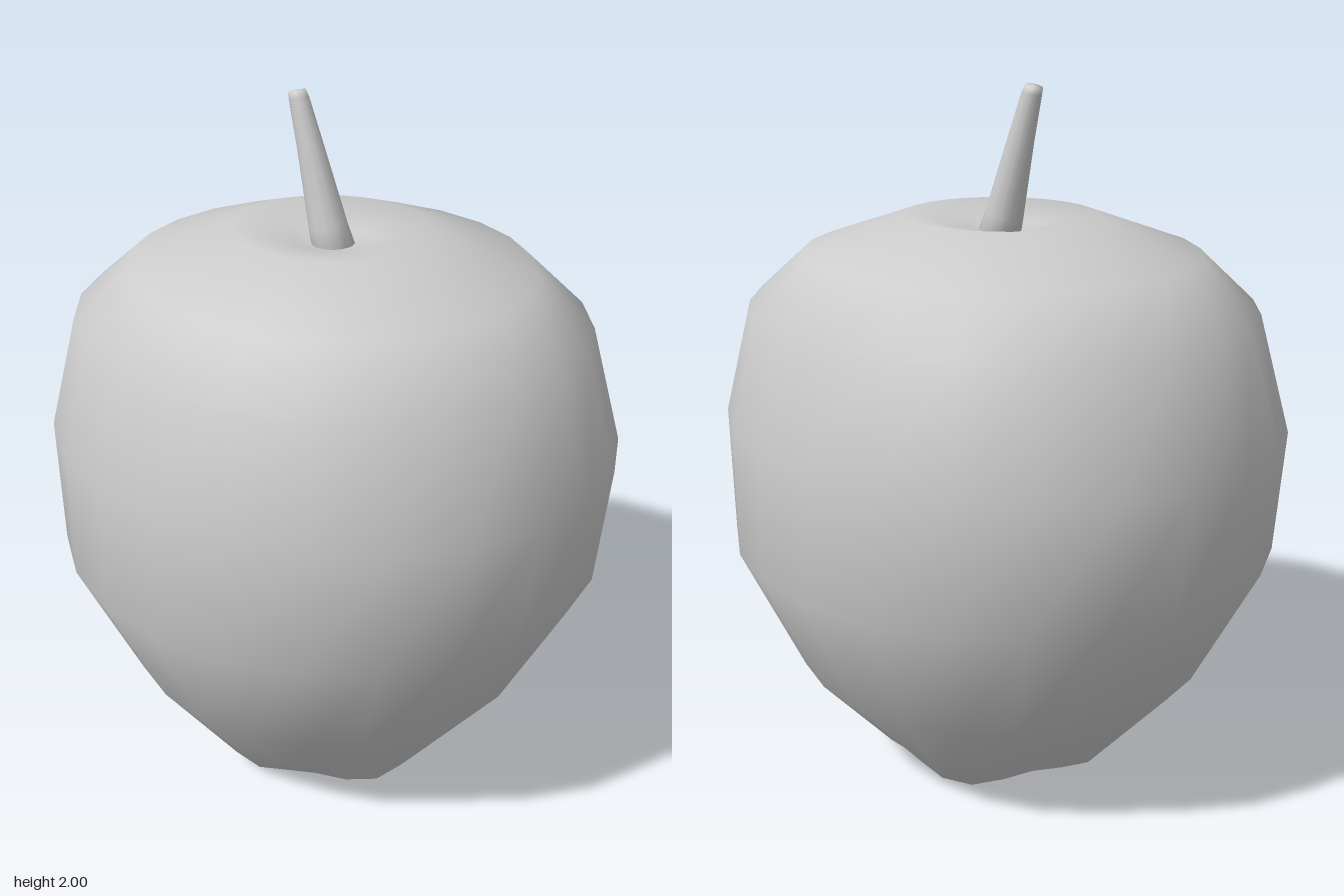
import * as THREE from 'three';

// Skin a stack of closed rings (bottom to top), with an end point at each end
function loft(rings, bottom, top) {
  const n = rings[0].length, pos = [], idx = [];
  rings.flat().forEach(p => pos.push(...p));
  for (let i = 0; i < rings.length - 1; i++) {
    for (let j = 0; j < n; j++) {
      const k = (j + 1) % n, a = i * n, b = a + n;
      idx.push(a + j, a + k, b + k, a + j, b + k, b + j);
    }
  }
  const end = rings.length * n, last = end - n;
  pos.push(...bottom, ...top);
  for (let j = 0; j < n; j++) {
    const k = (j + 1) % n;
    idx.push(end, k, j, end + 1, last + j, last + k);
  }
  const g = new THREE.BufferGeometry();
  g.setAttribute('position', new THREE.Float32BufferAttribute(pos, 3));
  g.setIndex(idx);
  g.computeVertexNormals();
  return g;
}

const ring = (n, point) => Array.from({ length: n }, (_, j) => point(j / n * Math.PI * 2));

export function createModel() {
  const group = new THREE.Group();
  const material = new THREE.MeshStandardMaterial({ color: 0xcccccc, side: THREE.DoubleSide });

  // Fruit: [half width x, half depth z, height, unevenness of the base]
  const profile = [
    [0.11, 0.11, 0.10, 0],
    [0.22, 0.22, 0.035, 0.6],
    [0.29, 0.29, 0.012, 1],
    [0.355, 0.34, 0.04, 1],
    [0.60, 0.61, 0.345, 0],
    [0.765, 0.80, 0.71, 0],
    [0.745, 0.84, 1.07, 0],
    [0.68, 0.74, 1.395, 0],
    [0.54, 0.57, 1.54, 0],
    [0.265, 0.28, 1.64, 0],
    [0.10, 0.10, 1.605, 0],
  ];
  const rings = profile.map(([rx, rz, y, k]) => ring(24, a => {
    // five soft lobes under the fruit, the back right one lifted
    const lobe = Math.cos(5 * (a - 0.75));
    const lift = Math.exp(-(((a - Math.PI * 1.25) / 0.42) ** 2));
    const s = 1 + k * (0.04 * lobe + 0.06 * lift);
    return [
      Math.sin(a) * rx * s - 0.015 * k,
      y + k * (0.065 * lift - 0.012 * lobe),
      Math.cos(a) * rz * s + 0.02 * k,
    ];
  }));
  const fruit = new THREE.Mesh(loft(rings, [0, 0.12, 0], [0, 1.58, 0]), material);
  fruit.name = 'fruit';
  group.add(fruit);

  // Stem: tapering and leaning back, [height, centre z, radius]
  const stemRings = [
    [1.55, 0.02, 0.062],
    [1.64, -0.01, 0.053],
    [1.85, -0.07, 0.036],
    [1.975, -0.108, 0.027],
    [1.992, -0.115, 0.024],
  ].map(([y, z, r]) => ring(12, a => [Math.sin(a) * r, y + Math.cos(a) * r * 0.25, z + Math.cos(a) * r]));
  const stem = new THREE.Mesh(loft(stemRings, [0, 1.55, 0.02], [0, 1.996, -0.116]), material);
  stem.name = 'stem';
  group.add(stem);

  return group;
}
